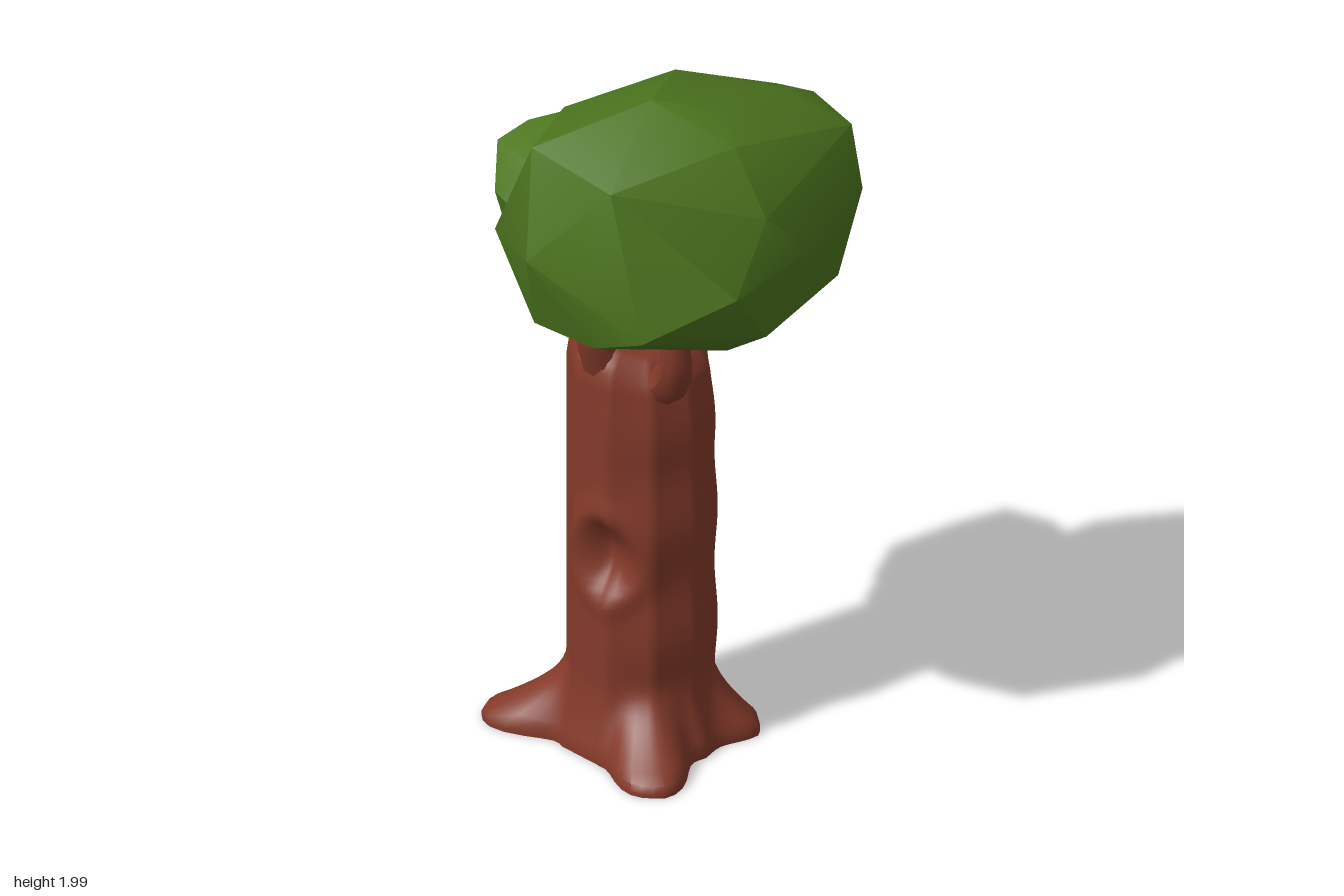
import * as THREE from 'three';
import { toCreasedNormals } from 'three/addons/utils/BufferGeometryUtils.js';
import { ConvexGeometry } from 'three/addons/geometries/ConvexGeometry.js';

// the trunk is a hollow shell, open at the bottom
const bark = new THREE.MeshStandardMaterial({ color: 0x843a2a, side: THREE.DoubleSide });
const leaves = new THREE.MeshStandardMaterial({ color: 0x4d761e });
const CX = -0.05, CZ = 0.015;

// root tips: x, z, reach beyond the trunk wall
const roots = [[-0.39, 0.255, 0.19], [0.24, 0.26, 0.15], [-0.24, -0.33, 0.16], [0.16, -0.2, 0.08]]
  .map(([x, z, reach]) => ({ angle: Math.atan2(z - CZ, x - CX), reach }));

// horizontal distance of the bark from the trunk axis
function barkRadius(a, y) {
  const sides = 10, step = (Math.PI * 2) / sides;
  const local = ((a % step) + step) % step - step / 2;
  let r = 0.197 * Math.cos(step / 2) / Math.cos(local);
  r += 0.006 * Math.sin(y * 19 + 1) * Math.max(0, Math.cos(a - 0.15));
  r -= 0.02 * THREE.MathUtils.smoothstep(y, 0.9, 1.1) * Math.max(0, Math.cos(a));
  // blunt roots flare out near the ground
  const flare = Math.pow(THREE.MathUtils.clamp(1 - (y - 0.035) / 0.2, 0, 1), 1.8);
  r += 0.035 * flare;
  for (const root of roots) {
    const d = Math.atan2(Math.sin(a - root.angle), Math.cos(a - root.angle));
    r += root.reach * flare * Math.exp(-Math.pow(Math.abs(d) / 0.36, 3));
  }
  // soft oval knot hollow at the front
  if (Math.sin(a) > 0) {
    const d = Math.hypot((r * Math.cos(a) + CX + 0.01) / 0.1, (y - 0.6) / 0.14);
    r += 0.008 * Math.exp(-Math.pow((d - 1) / 0.25, 2));
    r -= 0.06 * (1 - THREE.MathUtils.smoothstep(d, 0.1, 1));
  }
  return r;
}

function trunkGeometry() {
  const rows = [[0.01, 1]];
  for (let i = 1; i <= 56; i++) rows.push([i * 0.02, 1]);
  rows.push([1.16, 0.97], [1.19, 0.9], [1.21, 0.8], [1.215, 0.68], [1.205, 0.45], [1.19, 0]);
  const n = 80, pos = [], index = [];
  rows.forEach(([y, s], j) => {
    for (let i = 0; i <= n; i++) {
      const a = ((i % n) / n) * Math.PI * 2, r = barkRadius(a, y) * s;
      // the crown of the trunk sags on one side
      const sag = 0.06 * THREE.MathUtils.smoothstep(y, 1.08, 1.2) * s * Math.max(0, Math.cos(a));
      pos.push(CX + r * Math.cos(a), y - sag, CZ + r * Math.sin(a));
      if (j < rows.length - 1 && i < n) {
        const p = j * (n + 1) + i, q = p + n + 1;
        index.push(p, q, p + 1, q, q + 1, p + 1);
      }
    }
  });
  const g = new THREE.BufferGeometry();
  g.setAttribute('position', new THREE.Float32BufferAttribute(pos, 3));
  g.setIndex(index);
  return toCreasedNormals(g, 0.75);
}

// curved limb, thick at the base and thinner at the tip
function branchGeometry(points) {
  const curve = new THREE.CatmullRomCurve3(points.map(p => new THREE.Vector3(...p)));
  const rings = 14, sides = 10;
  const g = new THREE.TubeGeometry(curve, rings, 0.037, sides);
  const p = g.attributes.position, v = new THREE.Vector3();
  for (let i = 0; i < p.count; i++) {
    const t = Math.floor(i / (sides + 1)) / rings, c = curve.getPointAt(t);
    v.fromBufferAttribute(p, i).sub(c).multiplyScalar(1 + 0.9 * Math.pow(1 - t, 2)).add(c);
    p.setXYZ(i, v.x, v.y, v.z);
  }
  g.computeVertexNormals();
  return g;
}

// faceted foliage blob wrapped around a few corner points
const foliage = points =>
  toCreasedNormals(new ConvexGeometry(points.map(p => new THREE.Vector3(...p))), 0.55);

export function createModel() {
  const model = new THREE.Group();
  const add = (name, geometry, material) => {
    const mesh = new THREE.Mesh(geometry, material);
    mesh.name = name;
    model.add(mesh);
  };

  add('trunk', trunkGeometry(), bark);

  add('rightBranch', branchGeometry([[-0.16, 1.09, 0], [-0.24, 1.14, 0], [-0.29, 1.22, 0], [-0.3, 1.36, 0]]), bark);
  add('leftBranch', branchGeometry([[0.03, 1.09, 0.05], [0.11, 1.13, 0.07], [0.15, 1.2, 0.09], [0.155, 1.34, 0.1]]), bark);
  add('frontBranch', branchGeometry([[-0.06, 1.1, 0.12], [-0.06, 1.16, 0.15], [-0.06, 1.23, 0.18], [-0.06, 1.39, 0.21]]), bark);
  add('backBranch', branchGeometry([[-0.06, 1.1, -0.08], [-0.06, 1.16, -0.12], [-0.06, 1.23, -0.16], [-0.06, 1.36, -0.19]]), bark);

  add('largeFoliage', foliage([
    // crown
    [0.11, 2.0, 0.14], [0.22, 1.955, -0.02], [-0.01, 1.96, -0.07], [0.185, 1.9, -0.27],
    [0.33, 1.91, 0.05], [-0.07, 1.89, 0.4], [0.215, 1.86, 0.395], [-0.2, 1.86, 0.15],
    [0.14, 1.81, -0.43], [0.32, 1.8, -0.39], [-0.02, 1.76, -0.455], [-0.17, 1.84, -0.1],
    // waist
    [0.01, 1.62, 0.5], [0.22, 1.64, -0.5], [0.38, 1.64, -0.37], [0.445, 1.74, 0.05],
    [0.465, 1.6, -0.1], [0.47, 1.56, 0.185], [0.335, 1.46, 0.4], [-0.235, 1.57, 0.37],
    [-0.255, 1.52, 0.2], [-0.24, 1.69, 0.15], [-0.21, 1.62, -0.25], [-0.16, 1.6, -0.35],
    // underside
    [0.445, 1.39, 0.05], [0.36, 1.4, -0.3], [0.14, 1.4, -0.41], [-0.06, 1.37, 0.4],
    [0.16, 1.38, 0.4], [-0.16, 1.36, 0.33], [-0.05, 1.38, -0.37], [0.3, 1.29, 0.05],
    [0.15, 1.31, -0.3], [-0.1, 1.315, -0.29], [0.05, 1.28, 0], [0.12, 1.31, 0.22],
    [-0.16, 1.35, -0.05],
  ]), leaves);

  add('smallFoliage', foliage([
    // crown
    [-0.28, 1.73, 0.0], [-0.37, 1.71, -0.03], [-0.2, 1.72, 0.05], [-0.285, 1.63, -0.17],
    [-0.2, 1.63, -0.15], [-0.43, 1.69, 0.05], [-0.3, 1.66, 0.17],
    // waist
    [-0.41, 1.56, -0.19], [-0.46, 1.62, 0.0], [-0.475, 1.64, 0.12], [-0.4, 1.55, 0.205],
    [-0.27, 1.54, 0.24], [-0.14, 1.54, 0.2], [-0.475, 1.52, 0.12], [-0.3, 1.42, -0.27],
    [-0.2, 1.42, -0.24],
    // underside
    [-0.46, 1.4, 0.03], [-0.4, 1.39, -0.17], [-0.37, 1.38, 0.17], [-0.2, 1.38, 0.19],
    [-0.39, 1.33, 0.02], [-0.3, 1.31, 0.08], [-0.28, 1.32, -0.18], [-0.18, 1.33, -0.18],
    [-0.14, 1.33, 0.0],
  ]), leaves);

  return model;
}
